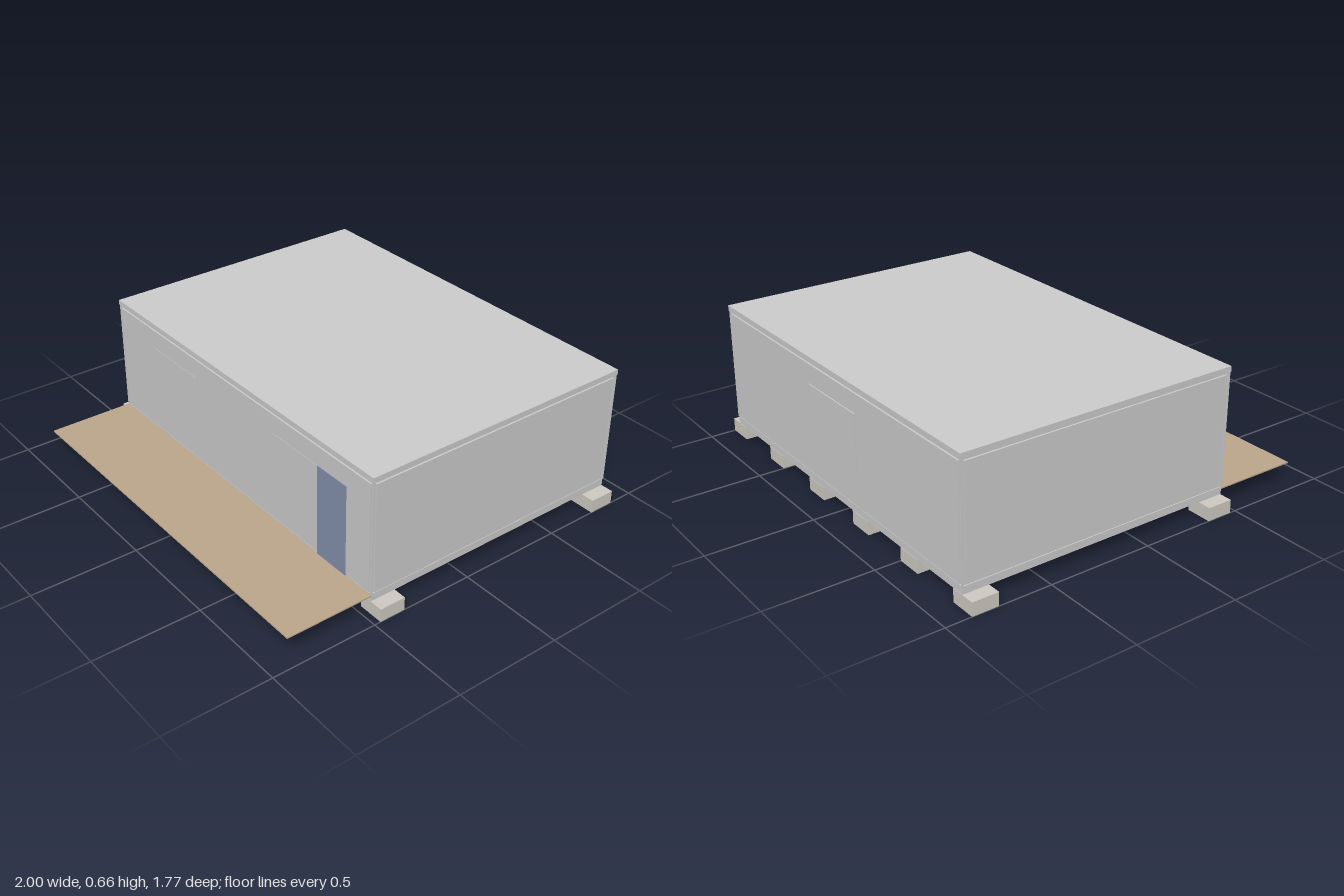
import * as THREE from 'three';

const material = (color, extra = {}) => new THREE.MeshStandardMaterial({ color, ...extra });

export function createModel() {
  const model = new THREE.Group();
  const grey = material(0xcccccc);
  const concrete = material(0xcecac2);
  const timber = material(0xbca68a);
  const blue = material(0x828eab);

  // Box given by its minimum and maximum corners
  function box(name, mat, [x0, x1], [y0, y1], [z0, z1]) {
    const mesh = new THREE.Mesh(new THREE.BoxGeometry(x1 - x0, y1 - y0, z1 - z0), mat);
    mesh.position.set((x0 + x1) / 2, (y0 + y1) / 2, (z0 + z1) / 2);
    mesh.name = name;
    model.add(mesh);
    return mesh;
  }

  const front = 0.475, back = -0.883, half = 0.942;

  // Two rows of foundation blocks
  for (let i = 0; i < 6; i++) {
    const x = -1 + i * 0.375;
    box('foundationBlock', concrete, [x, x + 0.125], [0, 0.063], [0.345, 0.47]);
    box('foundationBlock', concrete, [x, x + 0.125], [0, 0.063], [-0.878, -0.753]);
  }

  // Floor sheet in three bays, then the base frame and the inner body
  for (let i = -1; i <= 1; i++) {
    box('floorBay', concrete, [i * 0.624 - 0.311, i * 0.624 + 0.311], [0.063, 0.068], [-0.874, 0.466]);
  }
  box('baseFrame', grey, [-0.938, 0.938], [0.065, 0.1], [-0.878, 0.47]);
  box('body', grey, [-0.932, 0.932], [0.1, 0.64], [-0.873, 0.465]);

  // Roof slab
  box('roof', grey, [-half, half], [0.636, 0.662], [back, front]);

  // Wall panels, stopping short of the grooves under the roof and at the corners
  const wallY = [0.105, 0.626];
  box('frontWall', grey, [-0.924, 0.924], wallY, [0.45, 0.473]);
  box('backWall', grey, [-0.924, 0.924], wallY, [-0.881, -0.86]);
  for (const s of [-1, 1]) {
    const xs = s > 0 ? [0.92, 0.94] : [-0.94, -0.92];
    box('sideWall', grey, xs, wallY, [-0.864, 0.456]);
    // Slim corner posts standing inside the grooves
    for (const z of [-0.877, 0.469]) {
      const px = s * 0.936;
      box('cornerPost', grey, [px - 0.004, px + 0.004], [0.1, 0.636], [z - 0.004, z + 0.004]);
    }
  }

  // Windows lie almost flush with the walls
  for (const x of [-0.47, 0.47]) {
    box('frontWindow', grey, [x - 0.185, x + 0.185], [0.245, 0.535], [0.46, 0.4745]);
  }
  box('backWindow', grey, [-0.187, 0.187], [0.245, 0.535], [-0.886, -0.87]);

  // Door
  box('door', blue, [0.593, 0.777], [0.098, 0.535], [0.46, 0.476]);

  // Thin deck along the front
  box('deck', timber, [-0.938, 0.938], [0.088, 0.094], [0.47, 0.885]);

  return model;
}
